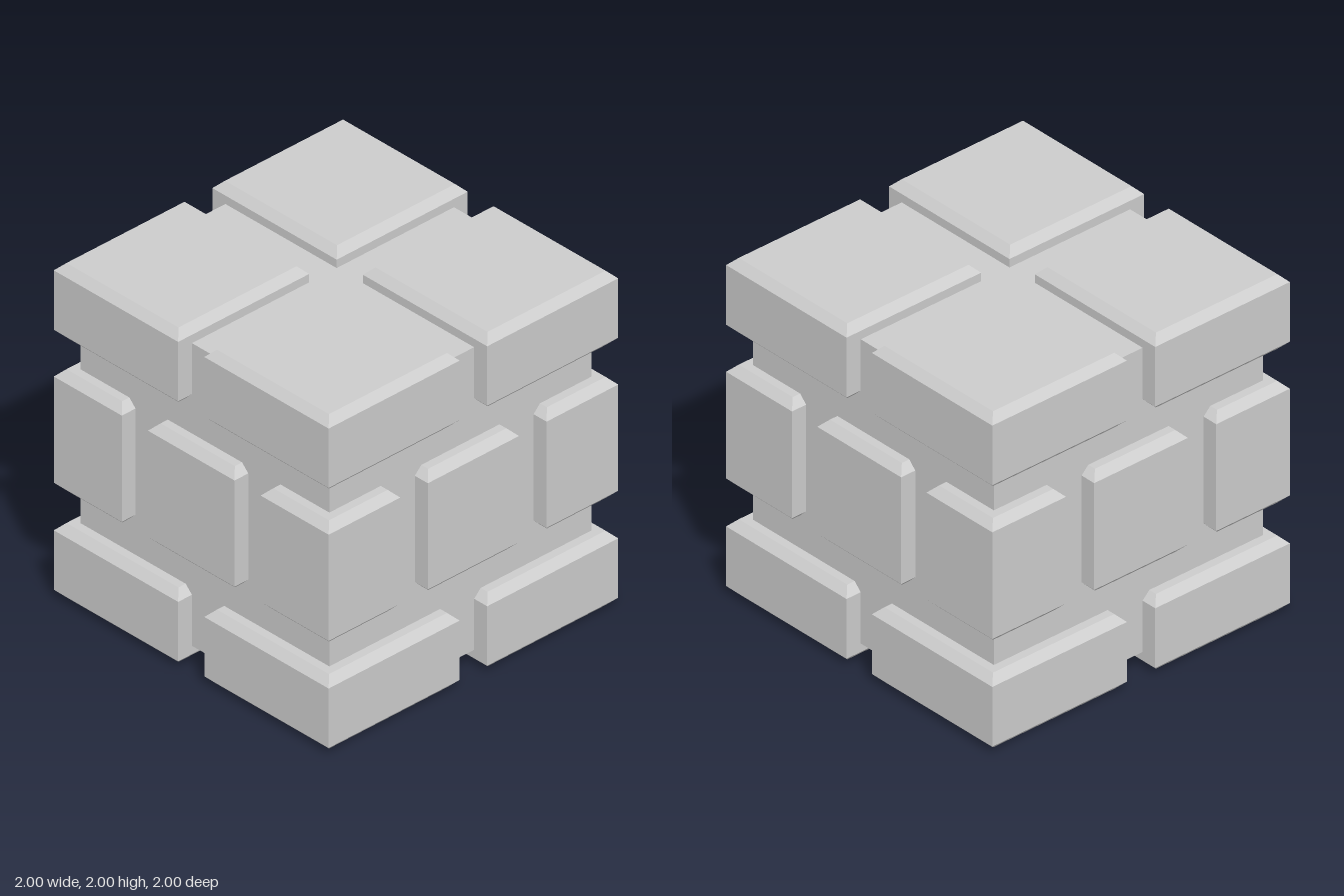
import * as THREE from 'three';

const BEVEL = 0.045;
const material = new THREE.MeshStandardMaterial({ color: 0xcccccc, flatShading: true });

// Box with sharp upright edges whose top and bottom rims are bevelled
function stoneGeometry(w, h, d) {
  const box = new THREE.BoxGeometry(w, h, d, 1, 3, 1);
  const p = box.attributes.position;
  for (let i = 0; i < p.count; i++) {
    const y = p.getY(i);
    if (Math.abs(y) > h / 4) {
      p.setX(i, Math.sign(p.getX(i)) * (w / 2 - BEVEL));
      p.setZ(i, Math.sign(p.getZ(i)) * (d / 2 - BEVEL));
    } else {
      p.setY(i, Math.sign(y) * (h / 2 - BEVEL));
    }
  }
  const geometry = box.toNonIndexed();
  geometry.computeVertexNormals();
  return geometry;
}

export function createModel() {
  const group = new THREE.Group();

  function add(name, geometry, x, y, z) {
    const mesh = new THREE.Mesh(geometry, material);
    mesh.name = name;
    mesh.position.set(x, y, z);
    group.add(mesh);
  }

  // Recessed mortar core
  add('core', new THREE.BoxGeometry(1.81, 1.81, 1.81), 0, 1, 0);

  // Top and bottom courses: four large corner stones each
  const large = stoneGeometry(0.905, 0.445, 0.905);
  const c = 0.5475;
  for (const [name, y] of [['bottomStone', 0.2225], ['topStone', 1.7775]]) {
    for (const x of [-c, c]) for (const z of [-c, c]) add(name, large, x, y, z);
  }

  // Middle course: a stone on each corner and one in the centre of each side
  const corner = stoneGeometry(0.495, 0.725, 0.495);
  const sideX = stoneGeometry(0.495, 0.725, 0.63);
  const sideZ = stoneGeometry(0.63, 0.725, 0.495);
  const m = 0.7525;
  for (const s of [-1, 1]) {
    for (const t of [-1, 1]) add('middleCornerStone', corner, s * m, 1.0025, t * m);
    add('middleSideStone', sideX, s * m, 1.0025, 0);
    add('middleSideStone', sideZ, 0, 1.0025, s * m);
  }

  return group;
}
